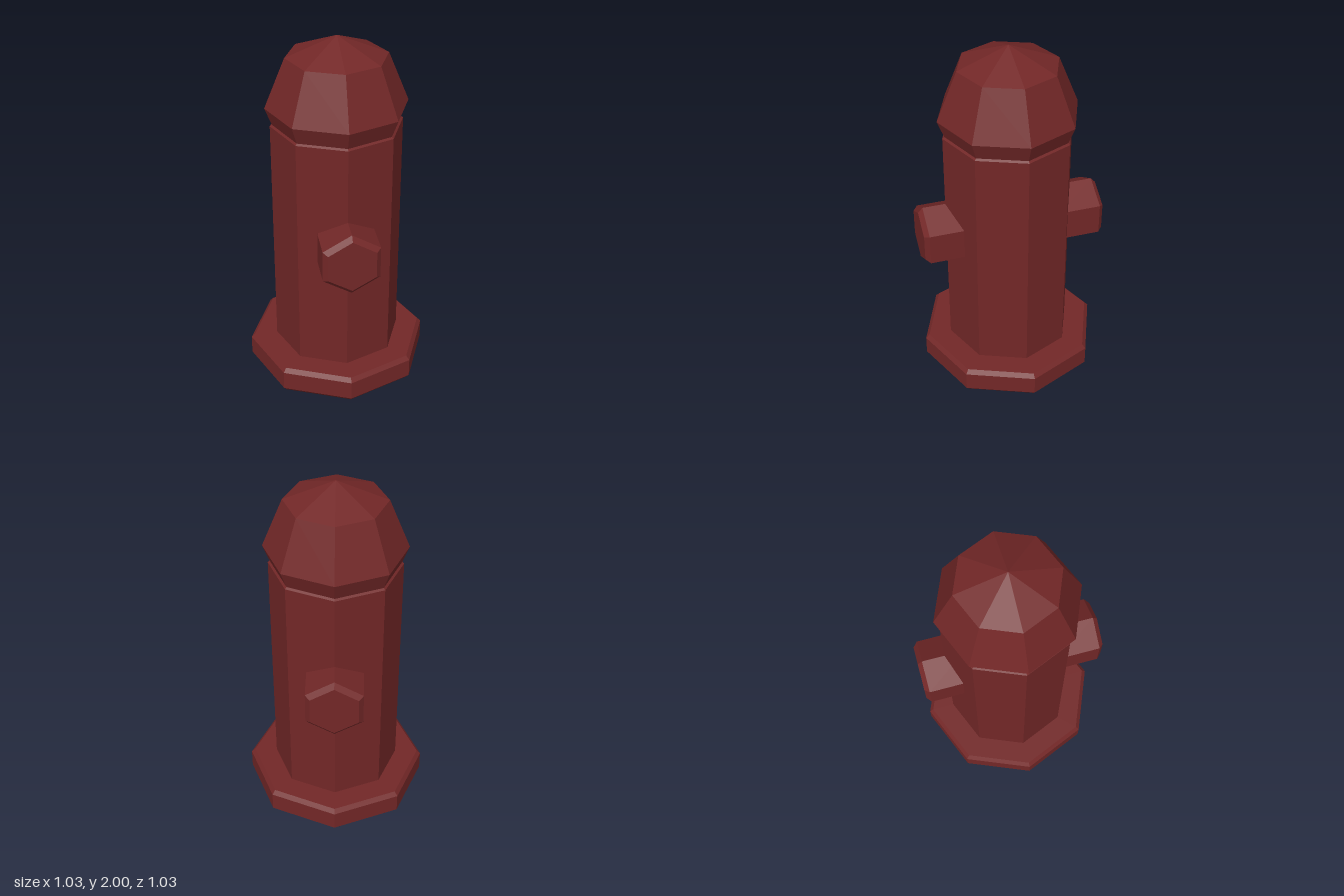
import * as THREE from 'three';

const red = new THREE.MeshStandardMaterial({ color: 0x722727, flatShading: true });
red.name = 'dark red paint';

// Faceted solid of revolution from [radius, height] pairs, bottom to top
function turned(name, profile, sides) {
  const points = profile.map(([r, y]) => new THREE.Vector2(r, y));
  const geometry = new THREE.LatheGeometry(points, sides).toNonIndexed();
  geometry.computeVertexNormals();
  const mesh = new THREE.Mesh(geometry, red);
  mesh.name = name;
  return mesh;
}

export function createModel() {
  const hydrant = new THREE.Group();
  hydrant.name = 'fireHydrant';

  // Bevelled octagonal foot
  hydrant.add(turned('baseFlange', [
    [0, 0], [0.495, 0], [0.517, 0.024], [0.517, 0.134], [0.495, 0.157], [0, 0.157],
  ], 8));

  // Barrel with a narrow chamfer at the top
  hydrant.add(turned('barrel', [
    [0.363, 0.15], [0.363, 1.51], [0.35, 1.52], [0, 1.52],
  ], 8));

  // Flared cap rising to a point
  hydrant.add(turned('cap', [
    [0.35, 1.515], [0.389, 1.615], [0.276, 1.89], [0, 2],
  ], 8));

  // Hexagonal outlets on the front and back
  for (const [name, side] of [['frontOutlet', 1], ['backOutlet', -1]]) {
    const outlet = turned(name, [
      [0.179, 0.25], [0.179, 0.491], [0.15, 0.517], [0, 0.517],
    ], 6);
    outlet.rotation.x = side * Math.PI / 2;
    outlet.position.y = 0.912;
    hydrant.add(outlet);
  }

  return hydrant;
}
